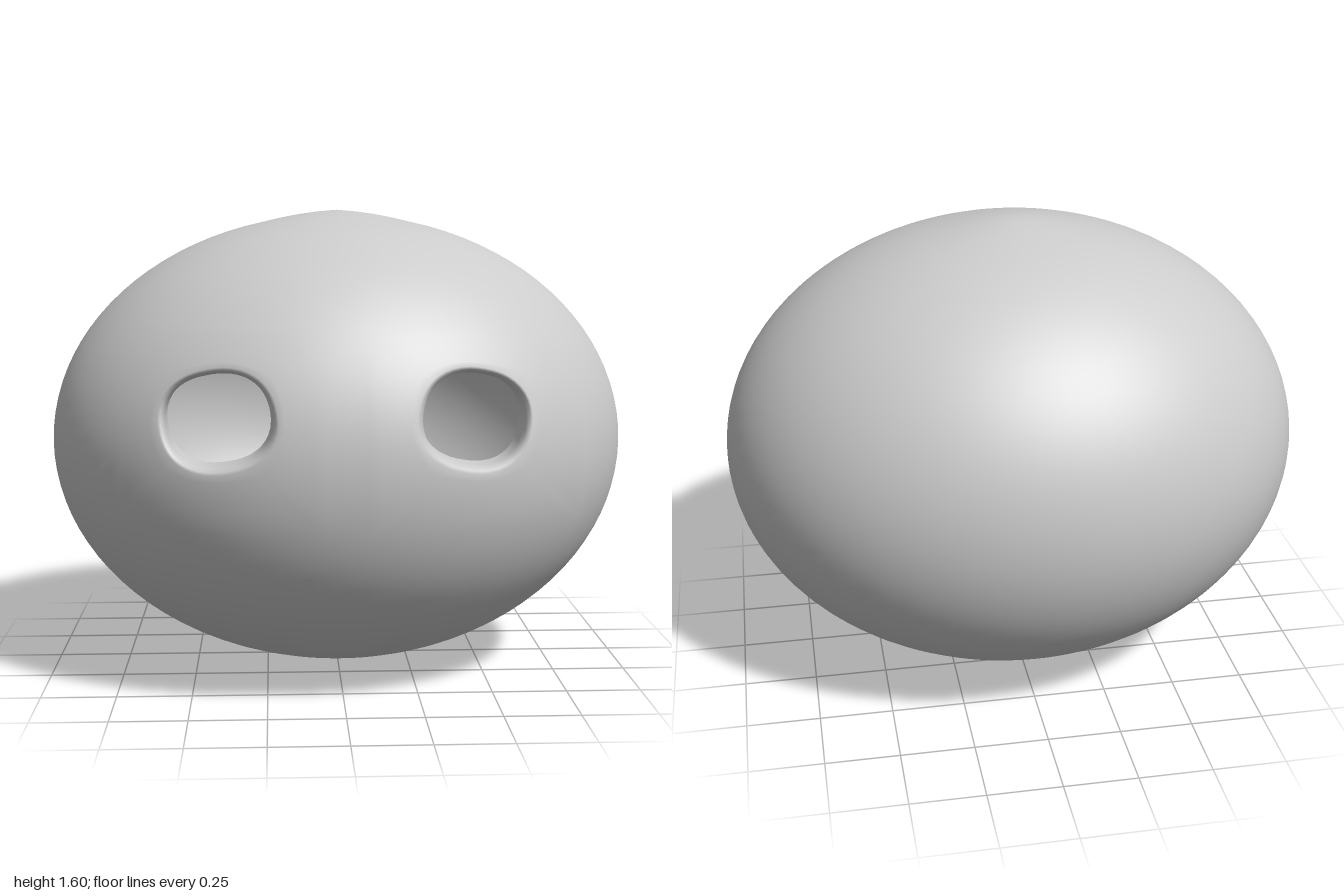
import * as THREE from 'three';
import { mergeVertices } from 'three/addons/utils/BufferGeometryUtils.js';

const LON = 96, LAT = 48, MID = 0.8;
const STEP = (Math.PI * 2) / LON;
// grid window around each eye opening (cells of longitude and latitude)
const WIN = { l0: 1, l1: 14, b0: -4, b1: 9 };
const OUTER = { a: 1, b: 0.785, c: 0.87 };
const INNER = { a: 0.88, b: 0.68, c: 0.76 };

// point on an ellipsoid with faintly peaked poles
function surfacePoint(e, i, j) {
  const u = i * STEP, v = j * STEP, r = Math.max(0, Math.cos(v));
  const peak = 0.015 * Math.max(0, 1 - r / 0.25) * Math.sign(v);
  return [e.a * Math.sin(u) * r, MID + e.b * Math.sin(v) + peak, e.c * Math.cos(u) * r];
}

// depth of the front half of an ellipsoid at x, y
function frontZ(e, x, y) {
  return e.c * Math.sqrt(Math.max(0, 1 - (x / e.a) ** 2 - ((y - MID) / e.b) ** 2));
}

// slightly tilted, squarish oval outline of the left eye opening
const EYE = { x: 0.398, y: 0.95, rx: 0.176, ry: 0.148, tilt: -0.2 };
function eyeOutline(angle, inset) {
  const t = angle - EYE.tilt;
  const c = Math.abs(Math.cos(t)) / EYE.rx, s = Math.abs(Math.sin(t)) / EYE.ry;
  const r = (c ** 2.3 + s ** 2.3) ** (-1 / 2.3) - inset;
  return [EYE.x + r * Math.cos(angle), EYE.y + r * Math.sin(angle)];
}

// corners of the grid window, counter-clockwise
function windowLoop() {
  const { l0, l1, b0, b1 } = WIN, loop = [];
  for (let i = l0; i < l1; i++) loop.push([i, b0]);
  for (let j = b0; j < b1; j++) loop.push([l1, j]);
  for (let i = l1; i > l0; i--) loop.push([i, b1]);
  for (let j = b1; j > b0; j--) loop.push([l0, j]);
  return loop;
}

function buildShell(e, withLip, inward) {
  const pos = [];
  const quad = (a, b, c, d, flip) => {
    const q = flip ? [a, c, b, a, d, c] : [a, b, c, a, c, d];
    q.forEach((p) => pos.push(...p));
  };

  // main ellipsoid, leaving out the two eye windows
  for (let j = -LAT / 2; j < LAT / 2; j++) {
    for (let i = -LON / 2; i < LON / 2; i++) {
      const k = i >= 0 ? i : -i - 1;
      if (k >= WIN.l0 && k < WIN.l1 && j >= WIN.b0 && j < WIN.b1) continue;
      quad(surfacePoint(e, i, j), surfacePoint(e, i + 1, j),
        surfacePoint(e, i + 1, j + 1), surfacePoint(e, i, j + 1), inward);
    }
  }

  // rings from each window edge to its opening, then through the wall
  const INSET = 0.012;
  const columns = windowLoop().map(([i, j]) => {
    const p = surfacePoint(e, i, j);
    const angle = Math.atan2(p[1] - EYE.y, p[0] - EYE.x);
    const rim = eyeOutline(angle, withLip ? -0.012 : INSET);
    const column = [p];
    for (const t of [0.2, 0.4, 0.6, 0.75, 0.88, 1]) {
      const x = p[0] + (rim[0] - p[0]) * t, y = p[1] + (rim[1] - p[1]) * t;
      column.push([x, y, frontZ(e, x, y)]);
    }
    if (withLip) {
      for (const [inset, t] of [[-0.003, 0.05], [0.006, 0.18], [0.01, 0.4], [INSET, 1]]) {
        const [x, y] = eyeOutline(angle, inset);
        const z0 = frontZ(OUTER, x, y), z1 = frontZ(INNER, x, y);
        column.push([x, y, z0 + (z1 - z0) * t]);
      }
    }
    return column;
  });
  for (const side of [1, -1]) {
    const m = ([x, y, z]) => [side * x, y, z];
    columns.forEach((col, i) => {
      const next = columns[(i + 1) % columns.length];
      for (let k = 0; k < col.length - 1; k++) {
        quad(m(col[k]), m(next[k]), m(next[k + 1]), m(col[k + 1]), (side < 0) !== inward);
      }
    });
  }

  const geo = new THREE.BufferGeometry();
  geo.setAttribute('position', new THREE.Float32BufferAttribute(pos, 3));
  const merged = mergeVertices(geo, 1e-4);
  merged.computeVertexNormals();
  return merged;
}

export function createModel() {
  const group = new THREE.Group();
  group.name = 'hollowHead';
  const material = new THREE.MeshStandardMaterial({ color: 0xcccccc });

  // outer skin with rounded eye openings
  const outer = new THREE.Mesh(buildShell(OUTER, true, false), material);
  outer.name = 'outerShell';

  // inside wall seen through the openings
  const inner = new THREE.Mesh(buildShell(INNER, false, true), material);
  inner.name = 'innerShell';

  group.add(outer, inner);
  return group;
}
